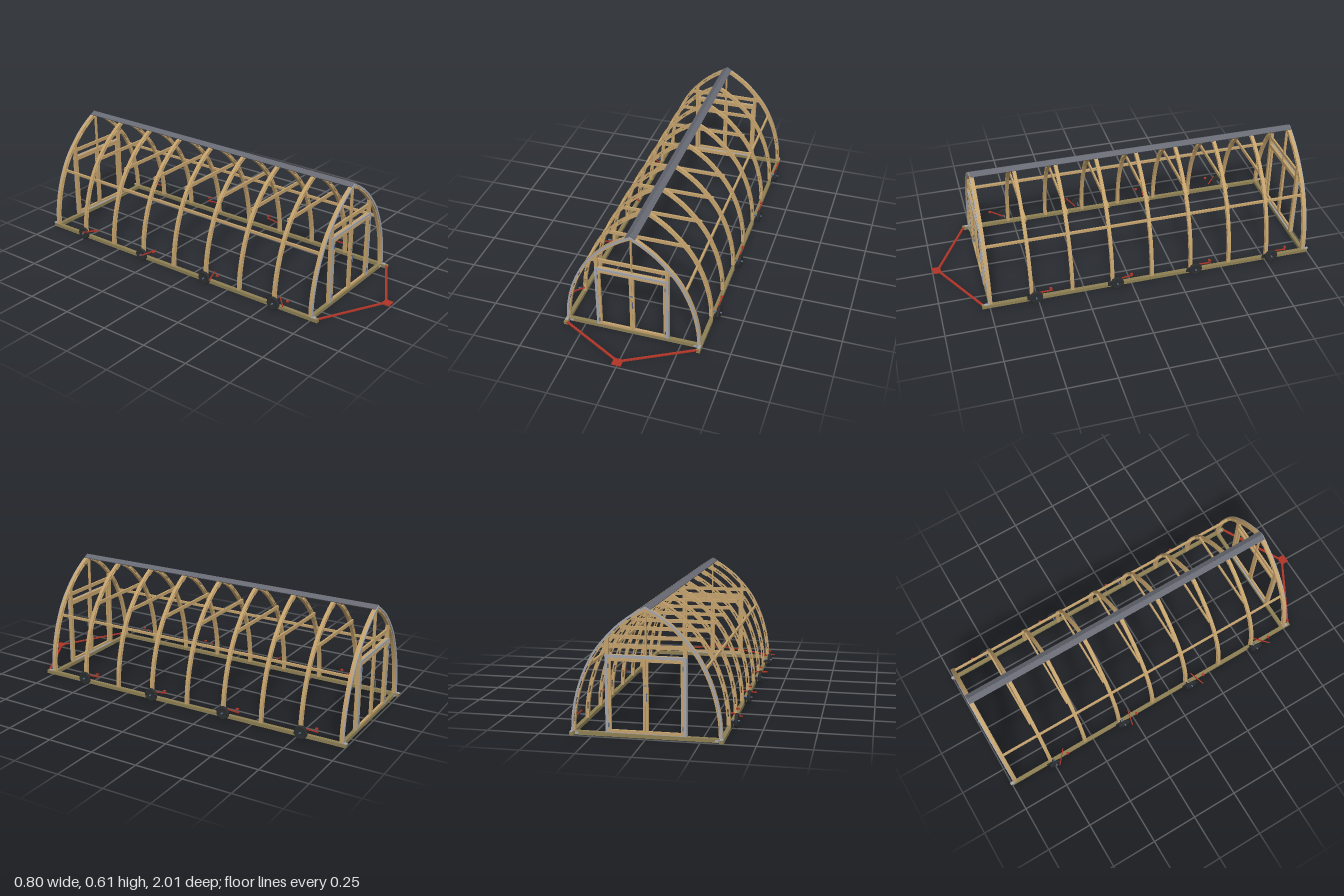
import * as THREE from 'three';

const mat = (name, color) => {
  const m = new THREE.MeshStandardMaterial({ color });
  m.name = name;
  return m;
};

export function createModel() {
  const wood = mat('timber', 0xc4a26c);
  const treated = mat('treated timber', 0x8e8054);
  const steel = mat('galvanised channel', 0xa4a6ac);
  const ridgeGrey = mat('ridge grey', 0x686a74);
  const rubber = mat('rubber', 0x2b2e30);
  const red = mat('red paint', 0xb03426);
  const hardware = mat('blue steel hardware', 0x566a88);

  const root = new THREE.Group();
  root.name = 'hoopHouse';

  const add = (parent, name, geo, material, x = 0, y = 0, z = 0) => {
    const m = new THREE.Mesh(geo, material);
    m.name = name;
    m.position.set(x, y, z);
    parent.add(m);
    return m;
  };
  const box = (parent, name, material, w, h, d, x, y, z) =>
    add(parent, name, new THREE.BoxGeometry(w, h, d), material, x, y, z);
  // square bar between two points
  const bar = (parent, name, material, a, b, w, h) => {
    const p = new THREE.Vector3(...a), q = new THREE.Vector3(...b);
    const m = box(parent, name, material, w, h, p.distanceTo(q), 0, 0, 0);
    m.position.copy(p).add(q).multiplyScalar(0.5);
    m.lookAt(q);
    return m;
  };
  const group = (name, parent = root) => {
    const g = new THREE.Group();
    g.name = name;
    parent.add(g);
    return g;
  };

  // outer line of one half arch, from sill to apex
  const arch = new THREE.SplineCurve([
    [0.349, 0.018], [0.344, 0.1], [0.324, 0.2], [0.289, 0.3],
    [0.235, 0.4], [0.148, 0.5], [0.07, 0.562], [0, 0.603],
  ].map(p => new THREE.Vector2(...p)));

  // curved lath following the arch, between two inward offsets
  const band = (side, t0, t1, o0, o1, depth) => {
    const n = Math.max(2, Math.round((t1 - t0) * 30));
    const at = (i, o) => {
      const t = t0 + (t1 - t0) * i / n;
      const p = arch.getPointAt(t), d = arch.getTangentAt(t);
      return new THREE.Vector2(side * Math.max(0, p.x - d.y * o), p.y + d.x * o);
    };
    const pts = [];
    for (let i = 0; i <= n; i++) pts.push(at(i, o0));
    for (let i = n; i >= 0; i--) pts.push(at(i, o1));
    const g = new THREE.ExtrudeGeometry(new THREE.Shape(pts), { depth, bevelEnabled: false });
    return g.translate(0, 0, -depth / 2);
  };

  // sill frame
  const frontZ = 0.745, step = 0.215, hoops = 9;
  const backZ = frontZ - step * (hoops - 1), midZ = (frontZ + backZ) / 2;
  const sill = group('sillFrame');
  for (const s of [-1, 1]) {
    box(sill, 'sideSill', treated, 0.02, 0.018, 1.79, s * 0.345, 0.009, -0.105);
    for (const z of [frontZ, backZ]) {
      const out = z > 0 ? 1 : -1;
      box(sill, 'cornerBracket', steel, 0.016, 0.01, 0.004, s * 0.323, 0.009, z + out * 0.011);
      box(sill, 'cornerCap', steel, 0.014, 0.003, 0.025, s * 0.345, 0.019, z + out * 0.02);
    }
  }
  for (const z of [frontZ, backZ]) box(sill, 'endSill', treated, 0.7, 0.018, 0.02, 0, 0.009, z);

  // laminated hoops: two laths with spacer blocks
  const outerG = {}, innerG = {}, gussetG = {}, channelG = {}, blockG = {};
  for (const s of [-1, 1]) {
    outerG[s] = band(s, 0, 1, 0, 0.006, 0.018);
    innerG[s] = band(s, 0, 0.985, 0.013, 0.018, 0.018);
    gussetG[s] = band(s, 0.92, 0.995, 0.009, 0.022, 0.012);
    channelG[s] = band(s, 0, 1, 0, 0.01, 0.005);
    blockG[s] = [];
    for (let i = 0; i < 9; i++) blockG[s].push(band(s, i * 0.113, i * 0.113 + 0.055, 0.006, 0.013, 0.017));
  }
  for (let i = 0; i < hoops; i++) {
    const z = frontZ - i * step, end = i === 0 || i === hoops - 1;
    const h = group('hoop');
    h.position.z = z;
    for (const s of [-1, 1]) {
      add(h, 'outerLath', outerG[s], wood);
      add(h, 'innerLath', innerG[s], wood);
      add(h, 'apexGusset', gussetG[s], wood, 0, 0, -0.004);
      for (const g of blockG[s]) add(h, 'spacerBlock', g, wood);
      if (end) add(h, 'endChannel', channelG[s], steel, 0, 0, i === 0 ? 0.011 : -0.011);
    }
    if (!end) box(h, 'collarTie', wood, 0.44, 0.018, 0.009, 0, 0.419, -0.012);
  }

  // purlins and ridge cap
  for (const s of [-1, 1]) {
    box(root, 'purlin', wood, 0.011, 0.013, frontZ - backZ, s * 0.266, 0.325, midZ);
    const cap = box(root, 'ridgeCap', ridgeGrey, 0.03, 0.005, 1.74, s * 0.0125, 0.5975, midZ);
    cap.rotation.z = -s * 0.53;
  }

  // end walls with double doors, built facing +z
  const endWall = (z, turn) => {
    const w = group('endWall');
    w.position.z = z;
    w.rotation.y = turn;
    box(w, 'endTie', wood, 0.42, 0.019, 0.01, 0, 0.419, -0.002);
    box(w, 'kingPost', wood, 0.007, 0.215, 0.014, 0, 0.487, 0);
    box(w, 'header', wood, 0.37, 0.02, 0.016, 0, 0.37, 0);
    box(w, 'headerChannel', steel, 0.374, 0.013, 0.005, 0, 0.374, 0.011);
    box(w, 'threshold', steel, 0.37, 0.004, 0.016, 0, 0.02, 0);
    for (const s of [-1, 1]) {
      box(w, 'doorPost', wood, 0.017, 0.438, 0.018, s * 0.179, 0.237, 0);
      box(w, 'postChannel', steel, 0.014, 0.36, 0.005, s * 0.18, 0.2, 0.011);
      const d = group('door', w);
      box(d, 'outerStile', wood, 0.013, 0.34, 0.012, s * 0.1665, 0.192, 0.006);
      box(d, 'innerStile', wood, 0.0115, 0.34, 0.012, s * 0.0063, 0.192, 0.006);
      box(d, 'bottomRail', wood, 0.15, 0.012, 0.012, s * 0.086, 0.028, 0.006);
      box(d, 'topRail', wood, 0.15, 0.012, 0.012, s * 0.086, 0.358, 0.006);
      for (const y of [0.056, 0.33]) box(d, 'hinge', hardware, 0.005, 0.02, 0.005, s * 0.171, y, 0.015);
    }
    box(w, 'latch', hardware, 0.016, 0.004, 0.005, 0, 0.245, 0.014);
    box(w, 'handleGrip', hardware, 0.004, 0.038, 0.004, 0.006, 0.193, 0.02);
    for (const y of [0.178, 0.208]) box(w, 'handleFoot', hardware, 0.004, 0.004, 0.01, 0.006, y, 0.016);
  };
  endWall(frontZ, 0);
  endWall(backZ, Math.PI);

  // lever wheels, built for the +x side and turned round for the other
  const tyre = new THREE.LatheGeometry([
    [0.016, -0.006], [0.03, -0.008], [0.034, -0.006], [0.0355, 0], [0.034, 0.006], [0.03, 0.008], [0.016, 0.006],
  ].map(p => new THREE.Vector2(...p)), 24).rotateZ(-Math.PI / 2);
  const rim = new THREE.CylinderGeometry(0.018, 0.018, 0.01, 20).rotateZ(Math.PI / 2);
  const axle = new THREE.CylinderGeometry(0.004, 0.004, 0.044, 12).rotateZ(Math.PI / 2);
  for (let i = 1; i < hoops; i += 2) {
    for (const s of [-1, 1]) {
      const w = group('leverWheel');
      w.position.z = frontZ - i * step;
      w.rotation.y = s > 0 ? 0 : Math.PI;
      add(w, 'tyre', tyre, rubber, 0.375, 0.036, -0.017);
      add(w, 'rim', rim, rubber, 0.375, 0.036, -0.017);
      add(w, 'axle', axle, hardware, 0.368, 0.036, -0.017);
      box(w, 'mountPlate', rubber, 0.004, 0.026, 0.034, 0.357, 0.022, 0.01);
      bar(w, 'swingArm', rubber, [0.361, 0.024, 0.018], [0.361, 0.037, -0.02], 0.006, 0.012);
      bar(w, 'lever', red, [0.362, 0.036, -0.017], [0.366, 0.073, -0.1], 0.005, 0.006);
      bar(w, 'leverGrip', red, [0.368, 0.069, -0.09], [0.368, 0.074, -0.102], 0.013, 0.007);
    }
  }

  // drawbar
  const tow = group('drawbar');
  for (const s of [-1, 1])
    bar(tow, 'towRod', red, [s * 0.345, 0.0145, 0.782], [s * 0.012, 0.0145, 0.966], 0.012, 0.006);
  box(tow, 'hitchPlate', red, 0.048, 0.005, 0.044, 0, 0.0145, 0.978);

  return root;
}
